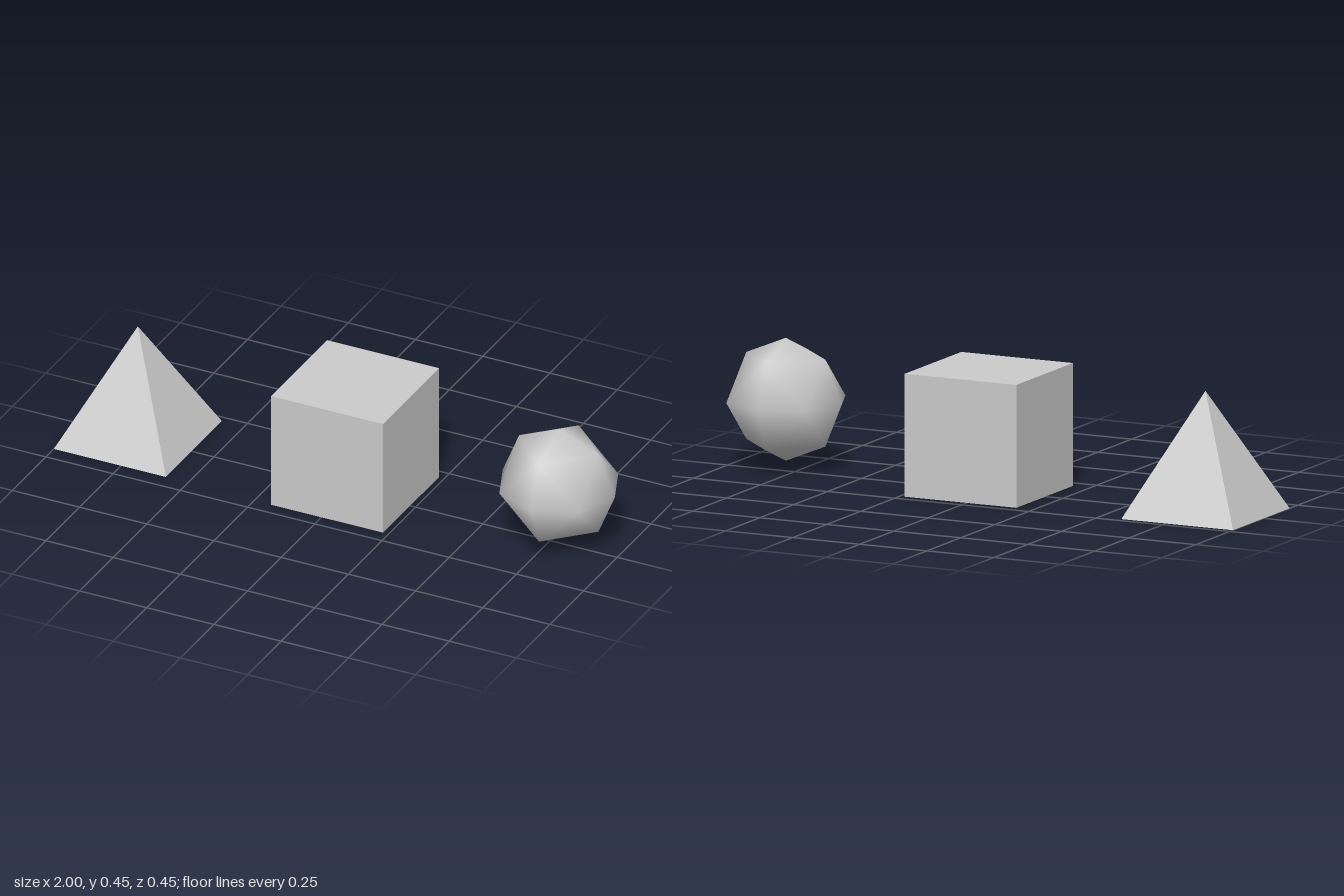
import * as THREE from 'three';

const SIZE = 0.417;

export function createModel() {
  const model = new THREE.Group();
  const flat = new THREE.MeshStandardMaterial({ color: 0xcccccc, flatShading: true });
  const smooth = new THREE.MeshStandardMaterial({ color: 0xcccccc });

  function add(name, geometry, material, x, y, z) {
    const mesh = new THREE.Mesh(geometry, material);
    mesh.name = name;
    mesh.position.set(x, y, z);
    model.add(mesh);
  }

  // Square pyramid: a four-sided cone turned so its base lines up with the axes
  const pyramid = new THREE.ConeGeometry(SIZE / Math.SQRT2, SIZE, 4).rotateY(Math.PI / 4);
  add('pyramid', pyramid, flat, -0.7915, SIZE / 2, -0.0175);

  // Cube
  add('cube', new THREE.BoxGeometry(SIZE, SIZE, SIZE), flat, 0.022, 0.209, -0.007);

  // Low-poly ball: an octahedron subdivided once, with smooth normals
  add('ball', new THREE.OctahedronGeometry(SIZE / 2, 1), smooth, 0.7915, 0.239, 0.0175);

  return model;
}
